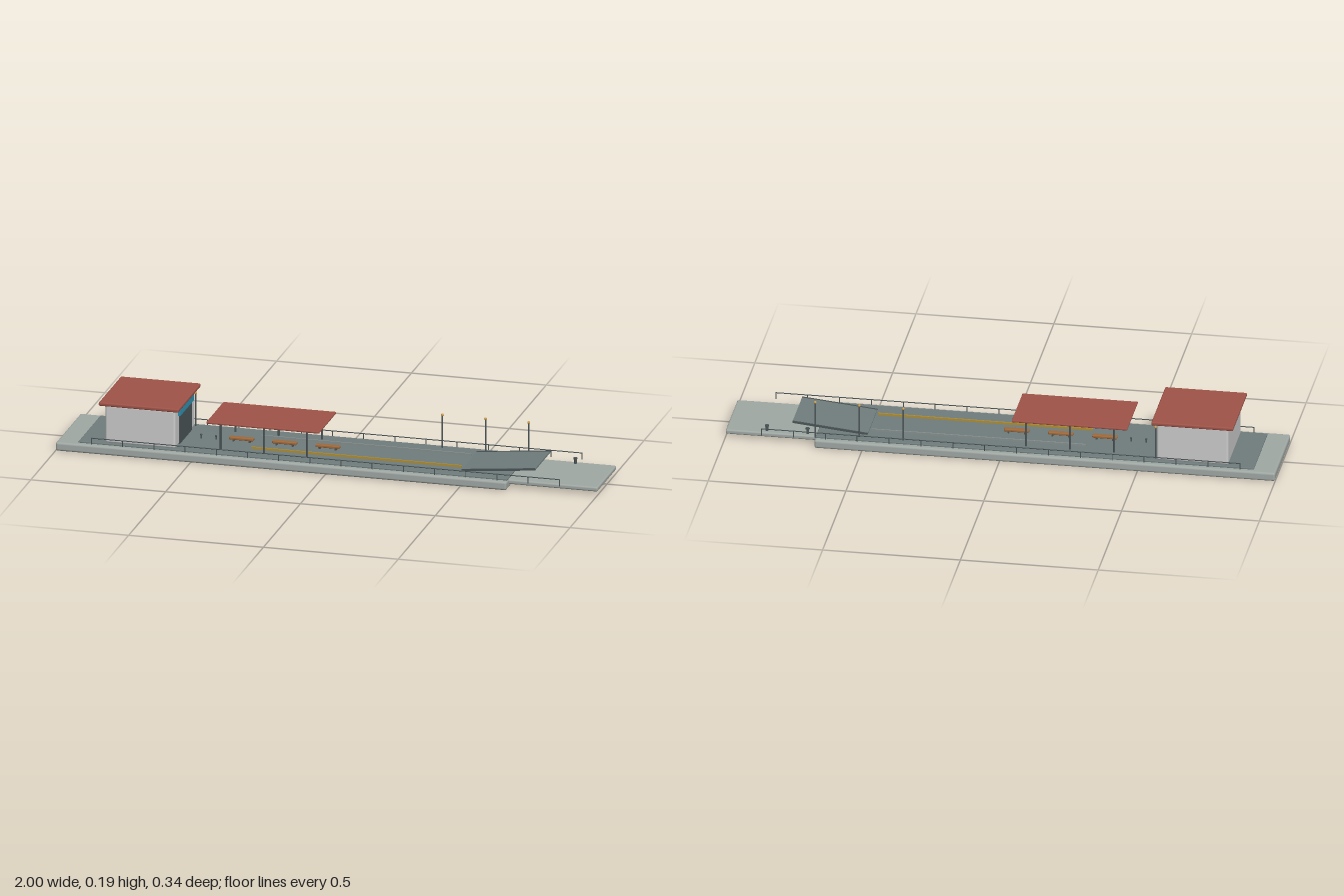
import * as THREE from 'three';
import { RoundedBoxGeometry } from 'three/addons/geometries/RoundedBoxGeometry.js';

const mat = (color) => new THREE.MeshStandardMaterial({ color });
const M = {
  concrete: mat(0xa0a8a4), deck: mat(0x6f7d7c), roof: mat(0x9f5348), wall: mat(0xd0d4d0),
  dark: mat(0x4a5457), blue: mat(0x2f8fb0), metal: mat(0x4c5558), wood: mat(0xa06a3c),
  yellow: mat(0xb08f35), lamp: mat(0xd0a050), grey: mat(0x87918f),
};

export function createModel() {
  const model = new THREE.Group();

  const add = (name, geo, material, x, y, z) => {
    const mesh = new THREE.Mesh(geo, material);
    mesh.name = name;
    mesh.position.set(x, y, z);
    model.add(mesh);
    return mesh;
  };
  // Box given by its extents; r rounds the edges
  const box = (name, m, x0, x1, y0, y1, z0, z1, r = 0) => {
    const s = [x1 - x0, y1 - y0, z1 - z0];
    const geo = r ? new RoundedBoxGeometry(...s, 3, r) : new THREE.BoxGeometry(...s);
    return add(name, geo, m, (x0 + x1) / 2, (y0 + y1) / 2, (z0 + z1) / 2);
  };
  const post = (name, m, x, z, y0, y1, r) =>
    add(name, new THREE.CylinderGeometry(r, r, y1 - y0, 12), m, x, (y0 + y1) / 2, z);
  const ball = (name, m, x, y, z, r) => add(name, new THREE.SphereGeometry(r, 14, 10), m, x, y, z);

  // Pier: slab, lower landing apron and paved deck
  box('pierSlab', M.concrete, -1, 0.672, 0, 0.032, -0.168, 0.168, 0.008);
  box('landingApron', M.concrete, 0.62, 1, 0.012, 0.029, -0.128, 0.128, 0.006);
  box('pavedDeck', M.deck, -0.92, 0.67, 0.03, 0.038, -0.148, 0.148, 0.003);

  // Terminal building with its entrance on the +x side
  box('terminalWalls', M.wall, -0.825, -0.565, 0.036, 0.179, -0.135, 0.135, 0.008);
  box('terminalRoof', M.roof, -0.845, -0.548, 0.178, 0.192, -0.151, 0.151, 0.005);
  box('entranceDoors', M.dark, -0.575, -0.561, 0.038, 0.148, -0.082, 0.082);
  box('entranceSign', M.blue, -0.575, -0.557, 0.147, 0.178, -0.093, 0.093);

  // Waiting shelter: canopy on six posts, with lamps and benches
  box('canopyRoof', M.roof, -0.455, -0.036, 0.134, 0.142, -0.116, 0.116, 0.003);
  for (const x of [-0.405, -0.245, -0.085]) {
    for (const z of [-0.1, 0.1]) post('canopyPost', M.metal, x, z, 0.036, 0.136, 0.004);
    ball('canopyLamp', M.lamp, x + 0.04, 0.132, 0, 0.004);
    box('benchSeat', M.wood, x + 0.005, x + 0.095, 0.045, 0.055, -0.01, 0.01, 0.003);
    for (const dx of [0.02, 0.08])
      box('benchLeg', M.metal, x + dx - 0.003, x + dx + 0.003, 0.036, 0.047, -0.007, 0.007);
  }

  // Low markers between the terminal and the shelter
  for (const x of [-0.505, -0.45]) {
    post('queueMarker', M.metal, x, 0, 0.036, 0.05, 0.003);
    ball('queueMarkerCap', M.metal, x, 0.051, 0, 0.004);
  }

  // Lane strips along the deck
  box('yellowLaneStrip', M.yellow, -0.3, 0.48, 0.037, 0.046, 0.064, 0.069);
  box('greyLaneStrip', M.grey, -0.3, 0.48, 0.037, 0.046, -0.07, -0.065);

  // Boarding ramp rising towards +x, with raised side edges
  const ramp = new THREE.Group();
  ramp.name = 'boardingRamp';
  const plate = box('rampPlate', M.deck, -0.137, 0.137, -0.003, 0.003, -0.102, 0.102);
  ramp.add(plate);
  for (const s of [-1, 1])
    ramp.add(box('rampEdge', M.metal, -0.137, 0.137, -0.003, 0.005, s * 0.102 - 0.002, s * 0.102 + 0.002));
  ramp.position.set(0.625, 0.053, 0);
  ramp.rotation.z = Math.atan2(0.027, 0.27);
  model.add(ramp);

  // Railings along both long sides
  const railStart = -0.87, railEnd = 0.865, railPosts = 16;
  for (const z of [-0.153, 0.153]) {
    const rail = post('handrail', M.metal, 0, z, 0, railEnd - railStart, 0.0018);
    rail.rotation.z = Math.PI / 2;
    rail.position.set((railStart + railEnd) / 2, 0.055, z);
    for (let i = 0; i < railPosts; i++) {
      const x = railStart + (i * (railEnd - railStart)) / (railPosts - 1);
      post('railPost', M.metal, x, z, 0.03, 0.056, 0.0018);
    }
  }

  // Lamp posts along the back edge
  for (const x of [-0.56, 0.355, 0.515, 0.675]) {
    post('lampPost', M.metal, x, -0.126, 0.025, 0.16, 0.0028);
    ball('lampGlobe', M.lamp, x, 0.162, -0.126, 0.005);
  }

  // Mooring bollards on the apron
  for (const x of [0.705, 0.853]) {
    post('bollard', M.metal, x, -0.109, 0.028, 0.048, 0.005);
    post('bollardCap', M.metal, x, -0.109, 0.046, 0.051, 0.0075);
  }
  return model;
}
